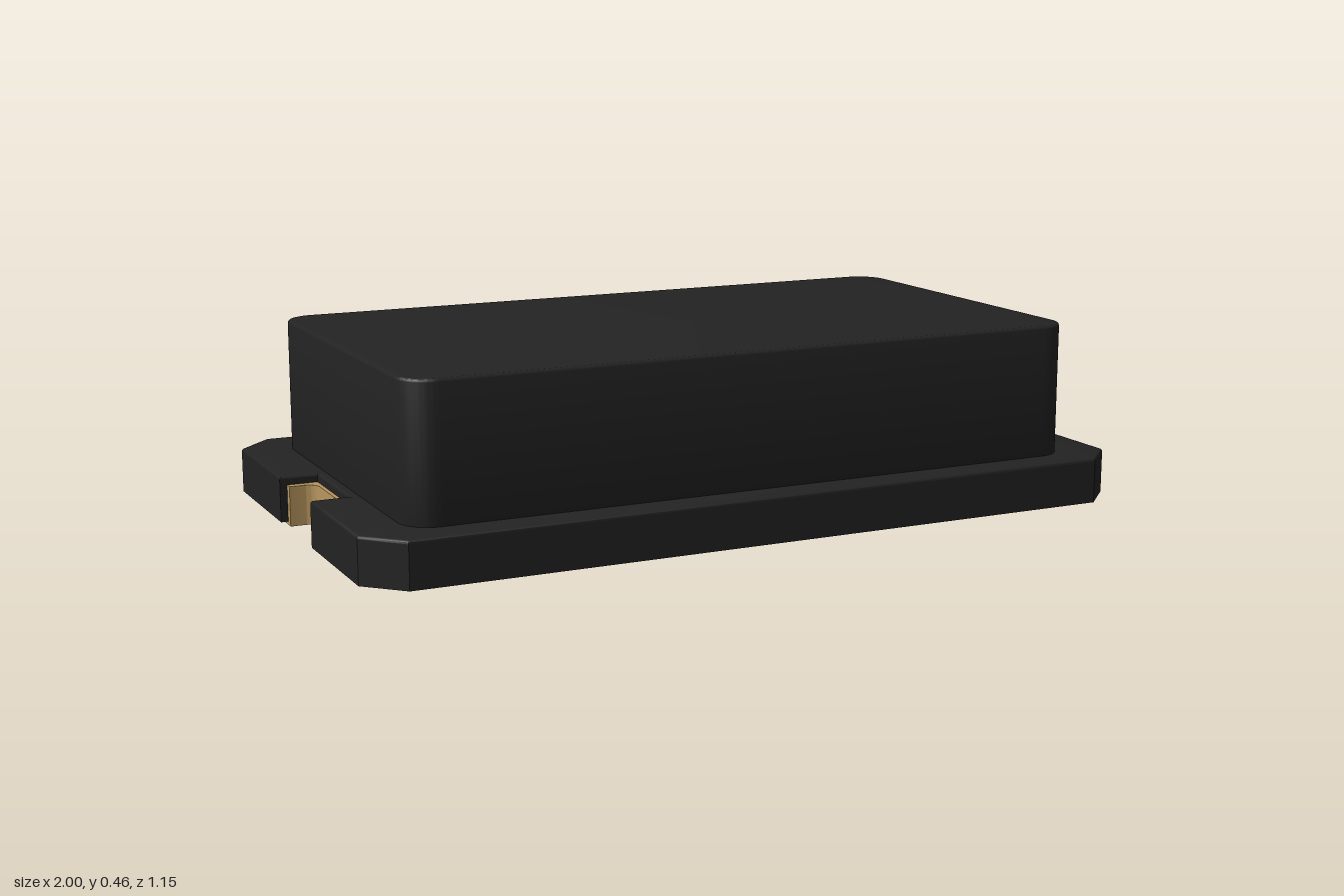
import * as THREE from 'three';
import { toCreasedNormals } from 'three/addons/utils/BufferGeometryUtils.js';

const BEVEL = 0.008;

// Extrude a plan outline (x, z) upwards between two heights
function slab(shape, y0, y1, bevel = 0) {
  const geometry = new THREE.ExtrudeGeometry(shape, {
    depth: y1 - y0 - 2 * bevel, curveSegments: 10,
    bevelEnabled: bevel > 0, bevelThickness: bevel, bevelSize: bevel, bevelOffset: -bevel, bevelSegments: 3,
  });
  geometry.rotateX(-Math.PI / 2).translate(0, y0 + bevel, 0);
  return toCreasedNormals(geometry, 0.6);
}

function polygon(points) {
  return new THREE.Shape(points.map(([x, z]) => new THREE.Vector2(x, z)));
}

// Chamfered plate outline with a square notch in each end
function baseOutline() {
  const X = 1, Z = 0.573, c = 0.088, n = 0.13, d = 0.905;
  const right = [[X - c, -Z], [X, -Z + c], [X, -n], [d, -n], [d, n], [X, n], [X, Z - c], [X - c, Z]];
  return polygon([...right, ...right.map(([x, z]) => [-x, -z])]);
}

function roundedOutline(X, Z, r) {
  const s = new THREE.Shape();
  s.absarc(X - r, Z - r, r, 0, Math.PI / 2);
  s.absarc(-X + r, Z - r, r, Math.PI / 2, Math.PI);
  s.absarc(-X + r, -Z + r, r, Math.PI, Math.PI * 1.5);
  s.absarc(X - r, -Z + r, r, Math.PI * 1.5, Math.PI * 2);
  s.closePath();
  return s;
}

// Outline with a rounded bay cut into its outer (+x) edge
function bayOutline(x0, x1, halfZ) {
  const bay = 0.915, h = 0.11, r = 0.032;
  const s = new THREE.Shape();
  s.moveTo(x0, -halfZ);
  s.lineTo(x1, -halfZ);
  s.lineTo(x1, -h);
  s.lineTo(bay + r, -h);
  s.absarc(bay + r, -h + r, r, -Math.PI / 2, -Math.PI, true);
  s.lineTo(bay, h - r);
  s.absarc(bay + r, h - r, r, Math.PI, Math.PI / 2, true);
  s.lineTo(x1, h);
  s.lineTo(x1, halfZ);
  s.lineTo(x0, halfZ);
  s.closePath();
  return s;
}

export function createModel() {
  const model = new THREE.Group();
  model.name = 'surfaceMountComponent';
  const black = new THREE.MeshStandardMaterial({ color: 0x232323 });
  black.name = 'black ceramic';
  const gold = new THREE.MeshStandardMaterial({ color: 0xb8975f });
  gold.name = 'gold plating';

  const add = (parent, name, geometry, material) => {
    const mesh = new THREE.Mesh(geometry, material);
    mesh.name = name;
    parent.add(mesh);
  };

  // Base plate, with a softened top rim whose lower bevel is buried in the plate
  const base = new THREE.Group();
  base.name = 'base';
  add(base, 'basePlate', slab(baseOutline(), 0.008, 0.122 - BEVEL), black);
  add(base, 'baseRim', slab(baseOutline(), 0.122 - 2 * BEVEL - 0.001, 0.122, BEVEL), black);
  model.add(base);

  // Rounded lid, sunk slightly into the base
  add(model, 'lid', slab(roundedOutline(0.884, 0.492, 0.08), 0.1, 0.457, BEVEL), black);

  // Gold terminal at each end: a thin pad below and a lining in the notch
  for (const [name, angle] of [['leftTerminal', 0], ['rightTerminal', Math.PI]]) {
    const terminal = new THREE.Group();
    terminal.name = name;
    add(terminal, 'pad', slab(bayOutline(0.492, 0.982, 0.328), 0, 0.009), gold);
    add(terminal, 'notchLining', slab(bayOutline(0.902, 0.982, 0.13), 0.004, 0.1), gold);
    terminal.rotation.y = angle;
    model.add(terminal);
  }
  return model;
}
